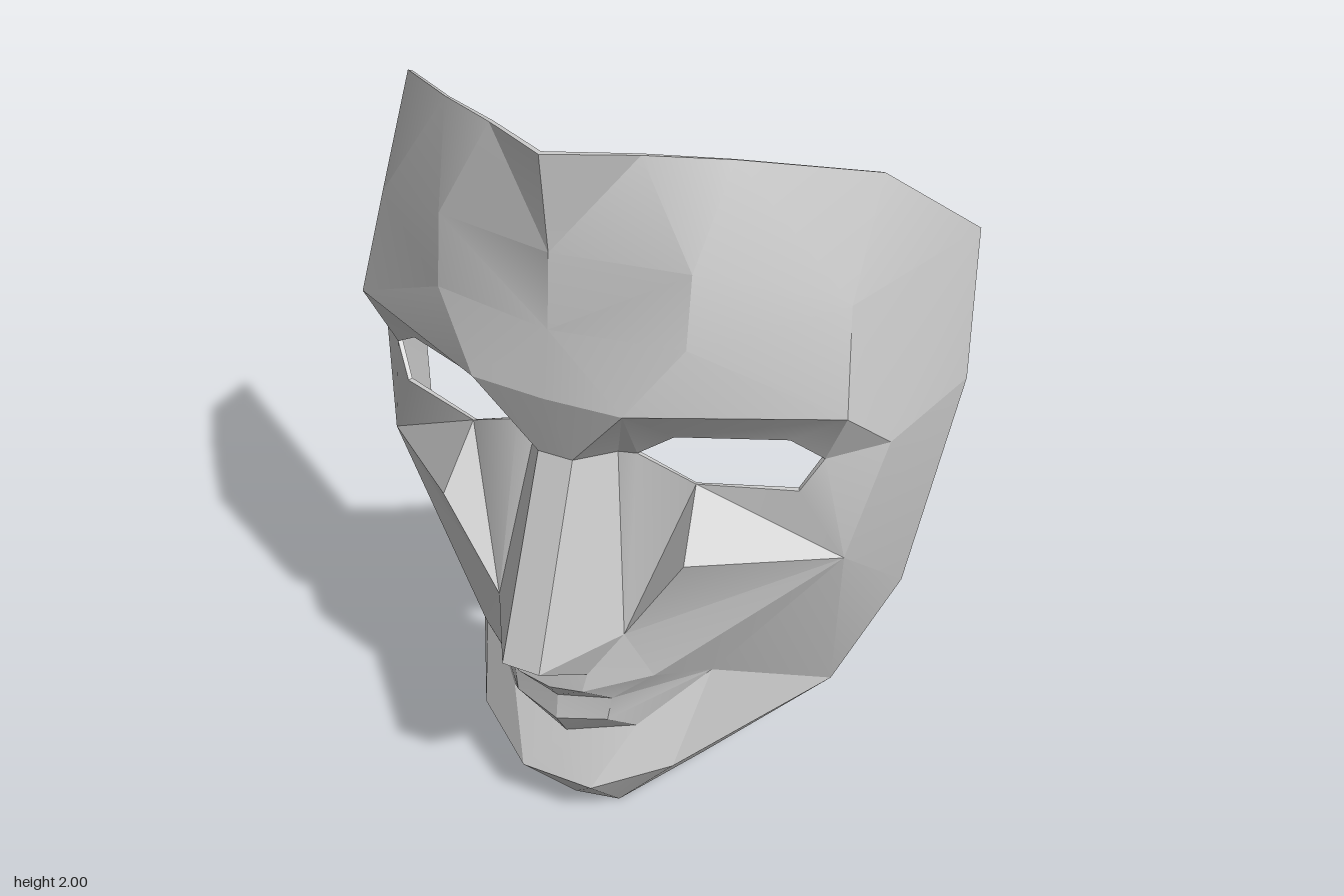
import * as THREE from 'three';
import { toCreasedNormals } from 'three/addons/utils/BufferGeometryUtils.js';

const THICKNESS = 0.012;

// Landmarks of one half of the face; the other half is mirrored.
const outline = {
  top0: [0, 2, 0.3], topV: [0.18, 1.985, 0.185], top1: [0.35, 1.965, 0.08], top2: [0.6, 1.875, -0.17],
  temple: [0.76, 1.64, -0.445], side: [0.78, 1.24, -0.425], cheekSide: [0.705, 0.645, -0.33],
  jaw: [0.545, 0.24, -0.32], jawLow: [0.28, 0.065, -0.07], chinLow: [0.12, 0.002, 0.14], chin0: [0, 0.002, 0.165],
};
const foreheadPoints = {
  high0: [0, 1.75, 0.265], high1: [0.31, 1.74, 0.2], foreSide: [0.6, 1.62, -0.02],
  mid0: [0, 1.56, 0.275], mid1: [0.31, 1.56, 0.22],
  brow0: [0, 1.39, 0.3], brow1: [0.19, 1.39, 0.29], brow2: [0.635, 1.37, 0.05],
};
const eyePoints = {
  outer: [0.575, 1.21, 0], lidOut: [0.5, 1.265, 0.04], lidIn: [0.245, 1.245, 0.12],
  inner: [0.16, 1.185, 0.14], lowIn: [0.3, 1.12, 0.11], lowOut: [0.53, 1.125, 0.035],
  eyeSide: [0.69, 1.21, -0.13],
};
const nosePoints = {
  bridge0: [0, 1.2, 0.25], bridge1: [0.045, 1.2, 0.25], noseRoot: [0.11, 1.175, 0.14],
  tip0: [0, 0.69, 0.45], tip1: [0.05, 0.69, 0.45], wing: [0.175, 0.7, 0.235],
  base0: [0, 0.58, 0.295], base1: [0.1, 0.58, 0.29],
  cheekIn: [0.325, 0.965, 0.23], cheekBone: [0.63, 0.9, -0.045],
};
const mouthPoints = {
  lip0: [0, 0.51, 0.305], lip1: [0.09, 0.525, 0.3], lipSide: [0.24, 0.555, 0.195], corner: [0.33, 0.475, 0.03],
  gap0: [0, 0.445, 0.26], gap1: [0.14, 0.465, 0.23],
  low0: [0, 0.37, 0.27], low1: [0.13, 0.39, 0.235],
  dip0: [0, 0.28, 0.215], dip1: [0.18, 0.33, 0.165],
  chinTop0: [0, 0.16, 0.275], chinTop1: [0.1, 0.16, 0.275], chinSide: [0.28, 0.21, 0.15],
};
const points = { ...outline, ...foreheadPoints, ...eyePoints, ...nosePoints, ...mouthPoints };

// Each part is a set of bands: [upper row, lower row], listed from the middle outwards.
const parts = {
  forehead: [
    ['top0 topV top1 top2 temple', 'high0 high1 foreSide temple'],
    ['high0 high1 foreSide', 'mid0 mid1 foreSide'],
    ['mid0 mid1 foreSide temple', 'brow0 brow1 brow2 eyeSide side'],
  ],
  brow: [['brow0 brow1 brow2 eyeSide', 'bridge0 bridge1 noseRoot inner lidIn lidOut outer eyeSide']],
  nose: [
    ['bridge0 bridge1 noseRoot', 'tip0 tip1 wing'],
    ['tip0 tip1 wing', 'base0 base1 wing'],
  ],
  cheeks: [
    ['noseRoot inner lowIn', 'wing'],
    ['lowIn', 'wing cheekIn cheekBone'],
    ['cheekIn', 'wing cheekBone'],
    ['lowIn lowOut outer eyeSide side', 'cheekBone cheekSide'],
    ['cheekBone', 'wing lipSide corner jaw cheekSide'],
  ],
  mouth: [
    ['base0 base1 wing', 'lip0 lip1 lipSide'],
    ['lip0 lip1 lipSide corner', 'gap0 gap1 corner'],
    ['gap0 gap1 corner', 'low0 low1 corner'],
    ['low0 low1 corner', 'dip0 dip1 corner'],
  ],
  chin: [
    ['dip0 dip1', 'chinTop0 chinTop1'],
    ['chinTop0 chinTop1', 'chin0 chinLow'],
    ['dip1', 'chinTop1 chinSide'],
    ['chinSide', 'chinTop1 chinLow jawLow jaw'],
    ['corner', 'dip1 chinSide jaw'],
  ],
};
// the inner cheek fan already closes against the wing
parts.cheeks.splice(2, 1, ['cheekBone', 'cheekIn wing']);

const distance = (a, b) => Math.hypot(...points[a].map((v, i) => v - points[b][i]));

// Stitch two rows into triangles along the shorter diagonals.
function stitch(upper, lower) {
  const a = upper.split(' '), b = lower.split(' '), tris = [];
  let i = 0, j = 0;
  while (i < a.length - 1 || j < b.length - 1) {
    const canA = i < a.length - 1, canB = j < b.length - 1;
    const stepA = canA && (!canB || distance(a[i + 1], b[j]) < distance(a[i], b[j + 1]));
    const tri = stepA ? [a[i], b[j], a[i + 1]] : [a[i], b[j], b[j + 1]];
    if (stepA) i++; else j++;
    if (new Set(tri).size === 3) tris.push(tri);
  }
  return tris;
}

export function createModel() {
  const group = new THREE.Group();
  group.name = 'mask';
  const material = new THREE.MeshStandardMaterial({ color: 0xcccccc, side: THREE.DoubleSide });

  // Shared vertices for both halves; points on the middle line are welded.
  const positions = [], ids = {};
  const vertex = (name, sign) => {
    const [x, y, z] = points[name];
    const key = name + (x === 0 ? 1 : sign);
    if (!(key in ids)) {
      ids[key] = positions.length / 3;
      positions.push(x * sign, y, z);
    }
    return ids[key];
  };

  // Front skin, one run of triangles per part
  const front = [], runs = [];
  for (const [name, bands] of Object.entries(parts)) {
    const start = front.length;
    for (const [upper, lower] of bands) {
      for (const [a, b, c] of stitch(upper, lower)) {
        front.push([vertex(a, 1), vertex(b, 1), vertex(c, 1)]);
        front.push([vertex(a, -1), vertex(c, -1), vertex(b, -1)]);
      }
    }
    runs.push([name, start, front.length]);
  }

  // Back skin, set in along the normals
  const skin = new THREE.BufferGeometry();
  skin.setAttribute('position', new THREE.Float32BufferAttribute(positions, 3));
  skin.setIndex(front.flat());
  skin.computeVertexNormals();
  const normals = skin.attributes.normal.array;
  const count = positions.length / 3;
  const all = positions.concat(positions.map((v, i) => v - normals[i] * THICKNESS));
  const back = front.map(([a, b, c]) => [a + count, c + count, b + count]);

  // Rim around the outline and the eye holes: edges used by one triangle only
  const edges = new Set(), rim = [];
  const eachEdge = (fn) => front.forEach((t) => t.forEach((p, k) => fn(p, t[(k + 1) % 3])));
  eachEdge((p, q) => edges.add(p + '_' + q));
  eachEdge((p, q) => {
    if (!edges.has(q + '_' + p)) rim.push([q, p, p + count], [q, p + count, q + count]);
  });

  const addMesh = (name, tris) => {
    const geometry = new THREE.BufferGeometry();
    geometry.setAttribute('position', new THREE.Float32BufferAttribute(all, 3));
    geometry.setIndex(tris.flat());
    const mesh = new THREE.Mesh(toCreasedNormals(geometry, 0.4), material);
    mesh.name = name;
    group.add(mesh);
  };
  for (const [name, start, end] of runs) addMesh(name, [...front.slice(start, end), ...back.slice(start, end)]);
  addMesh('rim', rim);
  return group;
}
